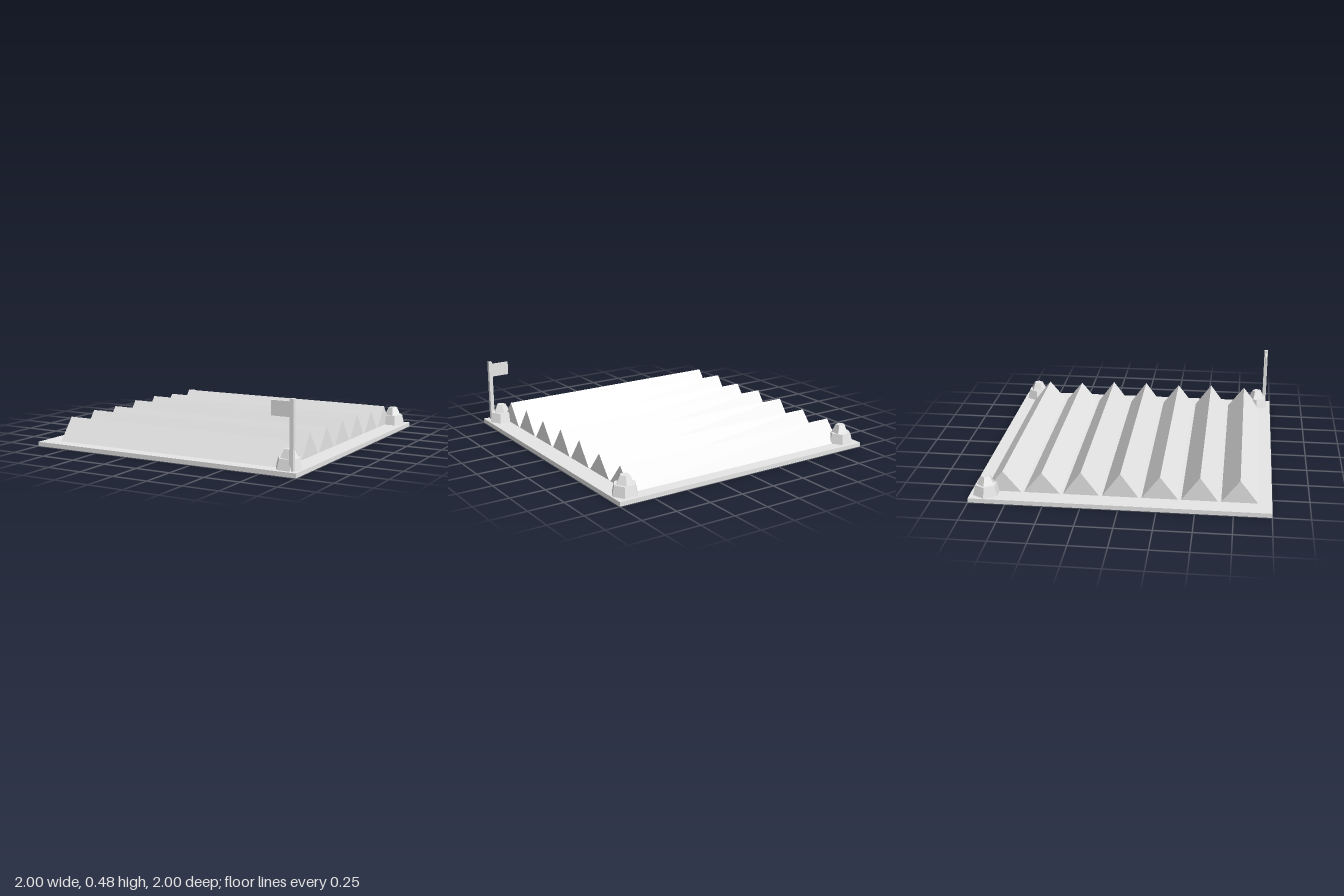
import * as THREE from 'three';

export function createModel() {
  const model = new THREE.Group();
  model.name = 'farmPlot';
  const grey = new THREE.MeshStandardMaterial({ color: 0xe6e6e6, flatShading: true, side: THREE.DoubleSide });
  grey.name = 'light grey';

  const add = (parent, name, geometry, x = 0, y = 0, z = 0) => {
    const mesh = new THREE.Mesh(geometry, grey);
    mesh.name = name;
    mesh.position.set(x, y, z);
    parent.add(mesh);
    return mesh;
  };

  const baseTop = 0.03;

  // Base tray, open underneath: a top sheet and a four-sided rim
  add(model, 'baseTop', new THREE.PlaneGeometry(2, 2).rotateX(-Math.PI / 2), 0, baseTop, 0);
  const rim = new THREE.CylinderGeometry(Math.SQRT2, Math.SQRT2, baseTop, 4, 1, true);
  add(model, 'baseRim', rim.rotateY(Math.PI / 4), 0, baseTop / 2, 0);

  // Seven triangular soil ridges running from side to side
  const peaks = [0.175, 0.175, 0.192, 0.195, 0.186, 0.195, 0.186];
  const ridges = new THREE.Group();
  ridges.name = 'soilRidges';
  model.add(ridges);
  peaks.forEach((peak, i) => {
    const profile = new THREE.Shape();
    profile.moveTo(-0.121, 0);
    profile.lineTo(0.121, 0);
    profile.lineTo(0, peak - baseTop);
    profile.closePath();
    const geometry = new THREE.ExtrudeGeometry(profile, { depth: 1.736, bevelEnabled: false });
    geometry.translate(0, 0, -0.868).rotateY(Math.PI / 2);
    add(ridges, 'soilRidge', geometry, 0, baseTop + 0.001, (i - 3) * 0.2627);
  });

  // Corner rocks: a hollow hexagonal foot through the base, with a five-sided cap
  const rocks = [
    { x: -0.9, z: -0.895, turn: 0.9 },
    { x: 0.9, z: -0.895, turn: 0.3 },
    { x: 0.9, z: 0.893, turn: 0.5 },
  ];
  const footProfile = [[0.1, 0], [0.076, 0.1], [0, 0.1]].map(([r, y]) => new THREE.Vector2(r, y));
  for (const r of rocks) {
    const rock = new THREE.Group();
    rock.name = 'cornerRock';
    rock.position.set(r.x, 0, r.z);
    model.add(rock);
    const foot = add(rock, 'rockFoot', new THREE.LatheGeometry(footProfile, 6));
    foot.rotation.y = Math.PI / 6;
    const cap = add(rock, 'rockCap', new THREE.CylinderGeometry(0.034, 0.061, 0.056, 5), 0, 0.128, 0);
    cap.rotation.y = r.turn;
  }

  // Marker flag at the front left corner
  const flag = new THREE.Group();
  flag.name = 'markerFlag';
  flag.position.set(0.949, baseTop, 0.953);
  model.add(flag);
  add(flag, 'flagPole', new THREE.BoxGeometry(0.027, 0.45, 0.027), 0, 0.225, 0);
  add(flag, 'flagPanel', new THREE.BoxGeometry(0.132, 0.097, 0.012), -0.078, 0.383, 0);

  return model;
}
